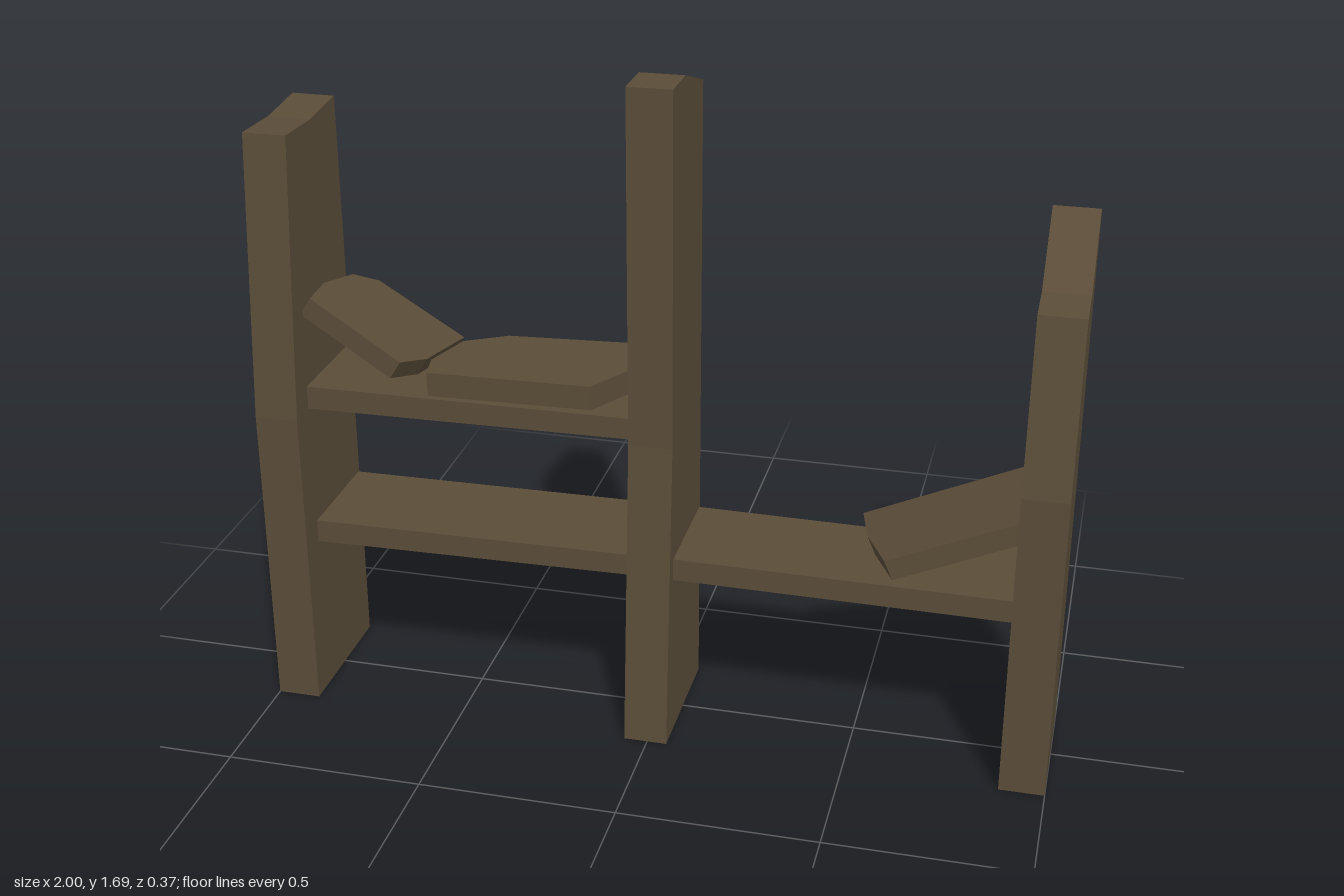
import * as THREE from 'three';

const wood = new THREE.MeshStandardMaterial({ color: 0x5a4c38, flatShading: true });

function extrude(points, depth) {
  const shape = new THREE.Shape(points.map(([a, b]) => new THREE.Vector2(a, b)));
  return new THREE.ExtrudeGeometry(shape, { depth, bevelEnabled: false });
}

// Upright post: side profile of [z, y] points, extruded from x0 to x1
function post(name, x0, x1, profile) {
  const geo = extrude(profile.map(([z, y]) => [-z, y]), x1 - x0);
  geo.rotateY(Math.PI / 2).translate(x0, 0, 0);
  const mesh = new THREE.Mesh(geo, wood);
  mesh.name = name;
  return mesh;
}

// Horizontal rail: front profile of [x, y] points, extruded through z
function rail(name, profile) {
  const geo = extrude(profile, 0.29).translate(0, 0, -0.178);
  const mesh = new THREE.Mesh(geo, wood);
  mesh.name = name;
  return mesh;
}

// Broken board: [along, z] outline given a thickness, then tilted about its lower edge
function board(name, outline, thickness, x, y, degrees) {
  const geo = extrude(outline.map(([u, z]) => [u, -z]), thickness).rotateX(-Math.PI / 2);
  const mesh = new THREE.Mesh(geo, wood);
  mesh.position.set(x, y, 0);
  mesh.rotation.z = THREE.MathUtils.degToRad(degrees);
  mesh.name = name;
  return mesh;
}

export function createModel() {
  const group = new THREE.Group();
  group.name = 'brokenFence';

  // Posts with worn tops and tapered front edges
  group.add(
    post('rightPost', -1, -0.89, [
      [0.185, 0], [0.185, 0.8], [0.122, 1.515], [-0.03, 1.51], [-0.185, 1.525], [-0.185, 0]]),
    post('middlePost', -0.06, 0.05, [
      [0.185, 0], [0.122, 0.8], [0.122, 1.69], [0, 1.69], [-0.185, 1.63], [-0.185, 0]]),
    post('leftPost', 0.887, 1, [
      [0.185, 0], [0.185, 0.8], [0.122, 1.23], [0, 1.24], [-0.185, 1.385], [-0.185, 0]]),
  );

  // Rails between the posts
  group.add(
    rail('upperRail', [[-0.89, 0.802], [-0.06, 0.81], [-0.06, 0.865], [-0.89, 0.862]]),
    rail('lowerRightRail', [[-0.89, 0.426], [-0.06, 0.436], [-0.06, 0.492], [-0.89, 0.486]]),
    rail('lowerLeftRail', [[0.05, 0.436], [0.887, 0.43], [0.887, 0.488], [0.05, 0.494]]),
  );

  // Snapped boards resting on the rails
  group.add(
    board('leaningRightBoard', [
      [-0.35, 0.1], [-0.08, 0.11], [-0.035, 0.02], [0, -0.175],
      [-0.26, -0.17], [-0.32, -0.12], [-0.355, 0]], 0.053, -0.6, 0.865, -32),
    board('flatBoard', [
      [0.015, 0.1], [0.435, 0.11], [0.5, 0], [0.535, -0.085], [0.535, -0.175],
      [0.145, -0.165], [0.04, -0.11], [0, 0.02]], 0.062, -0.59, 0.865, 1.5),
    board('leaningLeftBoard', [
      [0, -0.163], [0.034, -0.02], [0.105, 0.15], [0.46, 0.135], [0.46, -0.187]],
      0.053, 0.5, 0.488, 23),
  );
  return group;
}
